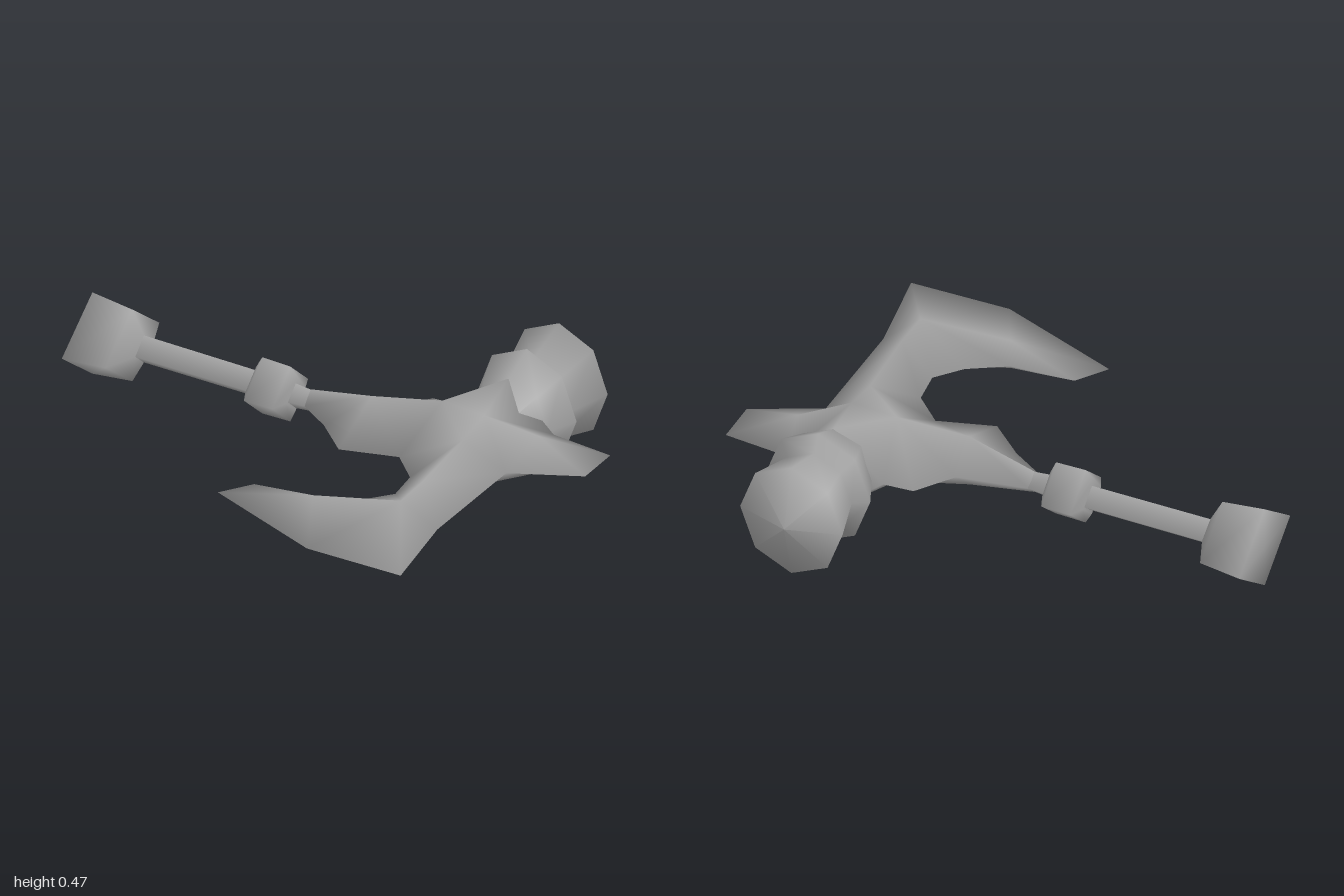
import * as THREE from 'three';
import { mergeVertices } from 'three/addons/utils/BufferGeometryUtils.js';

const MID = 0.24; // height of the horizontal symmetry plane

// Few-sided lathe from [radius, distance] pairs
function turned(name, profile, sides, material) {
  const geo = new THREE.LatheGeometry(profile.map(([r, d]) => new THREE.Vector2(r, d)), sides);
  const mesh = new THREE.Mesh(geo, material);
  mesh.name = name;
  return mesh;
}

// Diamond-section part lying along x; flat = height / width
function handlePart(name, profile, flat, material) {
  const mesh = turned(name, profile, 4, material);
  mesh.geometry.scale(flat, 1, 1).rotateZ(-Math.PI / 2);
  mesh.position.set(0, MID, -0.125);
  return mesh;
}

// Axe body: rim points [x, z] on the middle plane, then ridge points [x, z, height]
const RIM = [
  [-0.1, -0.17], [0.16, -0.22], [0.26, -0.36], [0.375, -0.37], [0.755, -0.365],
  [1, -0.345], [1, -0.175], [0.75, -0.05], [0.745, 0.41], [0.8, 0.75],
  [0.42, 0.76], [-0.05, 0.59], [0.03, 0.475], [0.27, 0.455], [0.41, 0.37],
  [0.49, 0.275], [0.475, 0.15], [0.37, 0.05], [0.16, 0.115], [0.03, 0], [-0.1, -0.08],
];
const RIDGE = {
  a: [-0.1, -0.125, 0.045], b: [0.16, -0.11, 0.105], c: [0.42, -0.16, 0.14],
  d: [0.57, -0.36, 0.175], e: [0.6, -0.15, 0.14], f: [0.6, 0, 0.115],
  g: [0.62, 0.3, 0.105], i: [0.62, 0.45, 0.1], j: [0.3, 0.52, 0.06], k: [0.78, -0.22, 0.075],
};
// Upper faces, corner by corner
const FACES = [
  // neck
  '0 1 b', '0 b a', 'a b 20', '20 b 19', '19 b 18',
  // centre and hammer root
  '1 2 c', '1 c b', '2 3 c', '3 d c', '3 4 d', 'd 4 e', 'c d e',
  'e 7 f', 'c e f', 'c f 17', 'b c 17', 'b 17 18',
  // side spike
  '4 k e', '4 5 k', '5 6 k', '6 7 k', 'k 7 e',
  // arm
  'f 16 17', 'f g 16', 'g 15 16', 'f 7 g', '7 8 g', 'g 8 i', 'g i 15',
  // hooked blade
  'i 14 15', 'i 13 14', 'i j 13', 'j 12 13', 'j 11 12', 'j 10 11', 'i 10 j', 'i 9 10', 'i 8 9',
];

function bodyGeometry() {
  const point = (key) => {
    const [x, z, h = 0] = RIDGE[key] || RIM[Number(key)];
    return new THREE.Vector3(x, h, z);
  };
  const out = [];
  for (const face of FACES) {
    let [p, q, r] = face.split(' ').map(point);
    // keep every upper face pointing up
    const up = q.clone().sub(p).cross(r.clone().sub(p)).y;
    if (up < 0) [q, r] = [r, q];
    for (const v of [p, q, r]) out.push(v.x, v.y, v.z);
    // mirrored lower face
    for (const v of [p, r, q]) out.push(v.x, -v.y, v.z);
  }
  // shared corners give smooth shading across the rim
  const geo = new THREE.BufferGeometry();
  geo.setAttribute('position', new THREE.Float32BufferAttribute(out, 3));
  const smooth = mergeVertices(geo);
  smooth.computeVertexNormals();
  return smooth;
}

export function createModel() {
  const group = new THREE.Group();
  group.name = 'hookedWarHammer';
  const metal = new THREE.MeshStandardMaterial({ color: 0xa3a3a3 });
  metal.name = 'grey metal';

  // Handle, from the end knob to the neck
  group.add(
    handlePart('pommel', [[0, -1], [0.208, -1], [0.183, -0.835], [0.063, -0.785], [0, -0.785]], 0.8, metal),
    handlePart('shaft', [[0.063, -0.8], [0.061, -0.3]], 0.88, metal),
    handlePart('gripRing', [[0, -0.325], [0.075, -0.325], [0.125, -0.3], [0.122, -0.185], [0.065, -0.162], [0, -0.162]], 0.92, metal),
    handlePart('neck', [[0.055, -0.18], [0.045, -0.09]], 0.95, metal),
  );

  // Axe body with hooked blade and spike
  const body = new THREE.Mesh(bodyGeometry(), metal);
  body.name = 'axeBody';
  body.position.y = MID;
  group.add(body);

  // Eight-sided hammer head pointing backwards, its root tapering into the body
  const hammer = turned('hammerHead', [
    [0, 0.08], [0.155, 0.37], [0.204, 0.484], [0.148, 0.518], [0.2, 0.702], [0, 0.762],
  ], 8, metal);
  hammer.geometry.scale(1, 1, 1.15).rotateX(-Math.PI / 2);
  hammer.position.set(0.573, MID, 0);
  group.add(hammer);

  return group;
}
